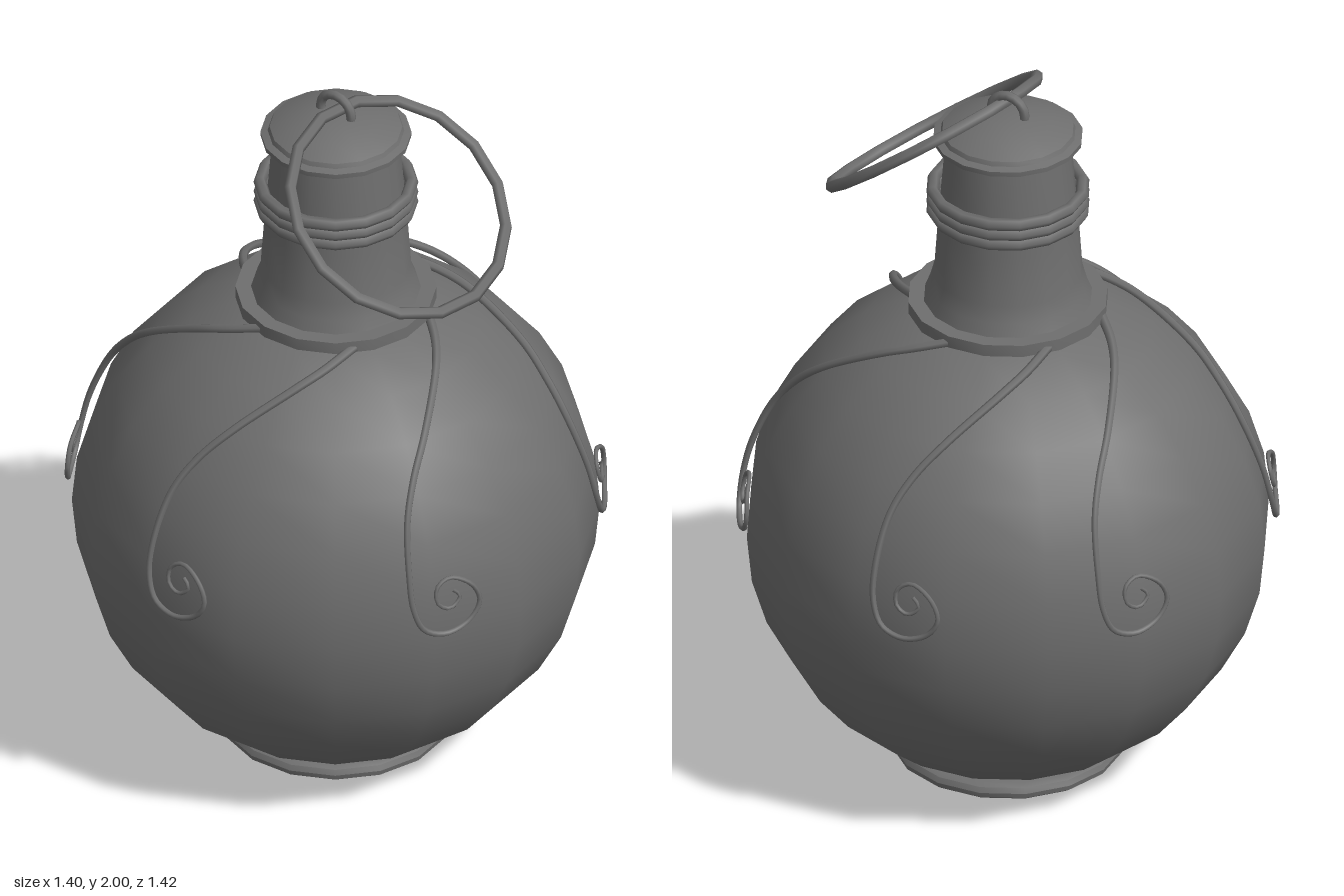
import * as THREE from 'three';
import { toCreasedNormals } from 'three/addons/utils/BufferGeometryUtils.js';

const material = new THREE.MeshStandardMaterial({ color: 0x6e6e6e });
const SIDES = 16;
const CENTRE_Y = 0.69;

export function createModel() {
  const model = new THREE.Group();

  const add = (name, geometry, parent = model) => {
    const mesh = new THREE.Mesh(geometry, material);
    mesh.name = name;
    parent.add(mesh);
    return mesh;
  };
  // Turned part from [radius, height] pairs listed bottom to top
  const turned = (name, profile) => add(name, toCreasedNormals(
    new THREE.LatheGeometry(profile.map(([r, y]) => new THREE.Vector2(r, y)), SIDES), 0.6));

  // Round flask body, closed off by the foot below and the neck above
  const bodyProfile = [];
  for (let i = -6; i <= 7; i++) {
    const a = i * Math.PI / 16;
    bodyProfile.push(new THREE.Vector2(0.695 * Math.cos(a), CENTRE_Y + 0.695 * Math.sin(a)));
  }
  add('body', new THREE.LatheGeometry(bodyProfile, SIDES));

  // Foot with a rounded rim
  turned('foot', [[0, 0], [0.295, 0], [0.309, 0.01], [0.312, 0.024], [0.305, 0.038], [0.29, 0.046], [0.24, 0.05]]);

  // Collar, flared neck and cap
  turned('collar', [[0.2, 1.34], [0.265, 1.342], [0.265, 1.376], [0.2, 1.376]]);
  turned('neck', [[0.226, 1.37], [0.21, 1.41], [0.198, 1.455], [0.188, 1.6], [0.178, 1.72], [0.166, 1.87]]);
  turned('cap', [[0.15, 1.856], [0.198, 1.856], [0.199, 1.87], [0.18, 1.876], [0.175, 1.888], [0.12, 1.915], [0.06, 1.93], [0, 1.935]]);

  // Stacked neck rings
  for (const y of [1.65, 1.68, 1.71]) {
    const ring = add('neckRing', new THREE.TorusGeometry(0.2, 0.017, 6, SIDES));
    ring.rotation.x = Math.PI / 2;
    ring.position.y = y;
  }

  // Small arched loop on the cap
  const loop = add('capLoop', new THREE.TorusGeometry(0.05, 0.013, 8, 16));
  loop.position.y = 1.937;
  loop.rotation.y = -0.24;

  // Large carrying ring hanging through the loop
  const carryRing = add('carryRing', new THREE.TorusGeometry(0.309, 0.017, 6, SIDES));
  carryRing.position.set(0.23, 1.771, 0.125);
  carryRing.quaternion.setFromUnitVectors(
    new THREE.Vector3(0, 0, 1), new THREE.Vector3(0.545, 0.796, 0.27).normalize());

  // Tendril: a stem down the shoulder that ends in a flat spiral
  const path = [
    [0.14, 1.352], [0.095, 1.325], [0.04, 1.293], [-0.09, 1.2], [-0.17, 1.12], [-0.225, 1.03], [-0.257, 0.9],
    [-0.26, 0.8], [-0.235, 0.735], [-0.175, 0.712], [-0.11, 0.735], [-0.08, 0.785],
    [-0.1, 0.84], [-0.155, 0.87], [-0.193, 0.848], [-0.195, 0.805], [-0.163, 0.785], [-0.132, 0.812], [-0.15, 0.835],
  ].map(([x, y]) => {
    const onBody = Math.sqrt(0.708 ** 2 - x * x - (y - CENTRE_Y) ** 2);
    const onCurl = y < 0.89 ? 0.66 + 0.47 * (x + 0.17) : 0;
    return new THREE.Vector3(x, y, Math.max(onBody, onCurl));
  });
  const curve = new THREE.CatmullRomCurve3(path, false, 'centripetal');
  const steps = 90, around = 6;
  const tendril = new THREE.TubeGeometry(curve, steps, 0.013, around, false);
  // Taper the tube towards the tip
  const pos = tendril.attributes.position, v = new THREE.Vector3();
  for (let i = 0; i <= steps; i++) {
    const centre = curve.getPointAt(i / steps);
    for (let j = 0; j <= around; j++) {
      const k = i * (around + 1) + j;
      v.fromBufferAttribute(pos, k).lerp(centre, 0.6 * i / steps);
      pos.setXYZ(k, v.x, v.y, v.z);
    }
  }
  // Six tendrils, a little over 60 degrees apart, closer together at the back
  const tendrils = new THREE.Group();
  tendrils.name = 'tendrils';
  model.add(tendrils);
  for (let i = -2; i <= 3; i++) {
    add('tendril', tendril, tendrils).rotation.y = THREE.MathUtils.degToRad(61.7 * i);
  }

  return model;
}
